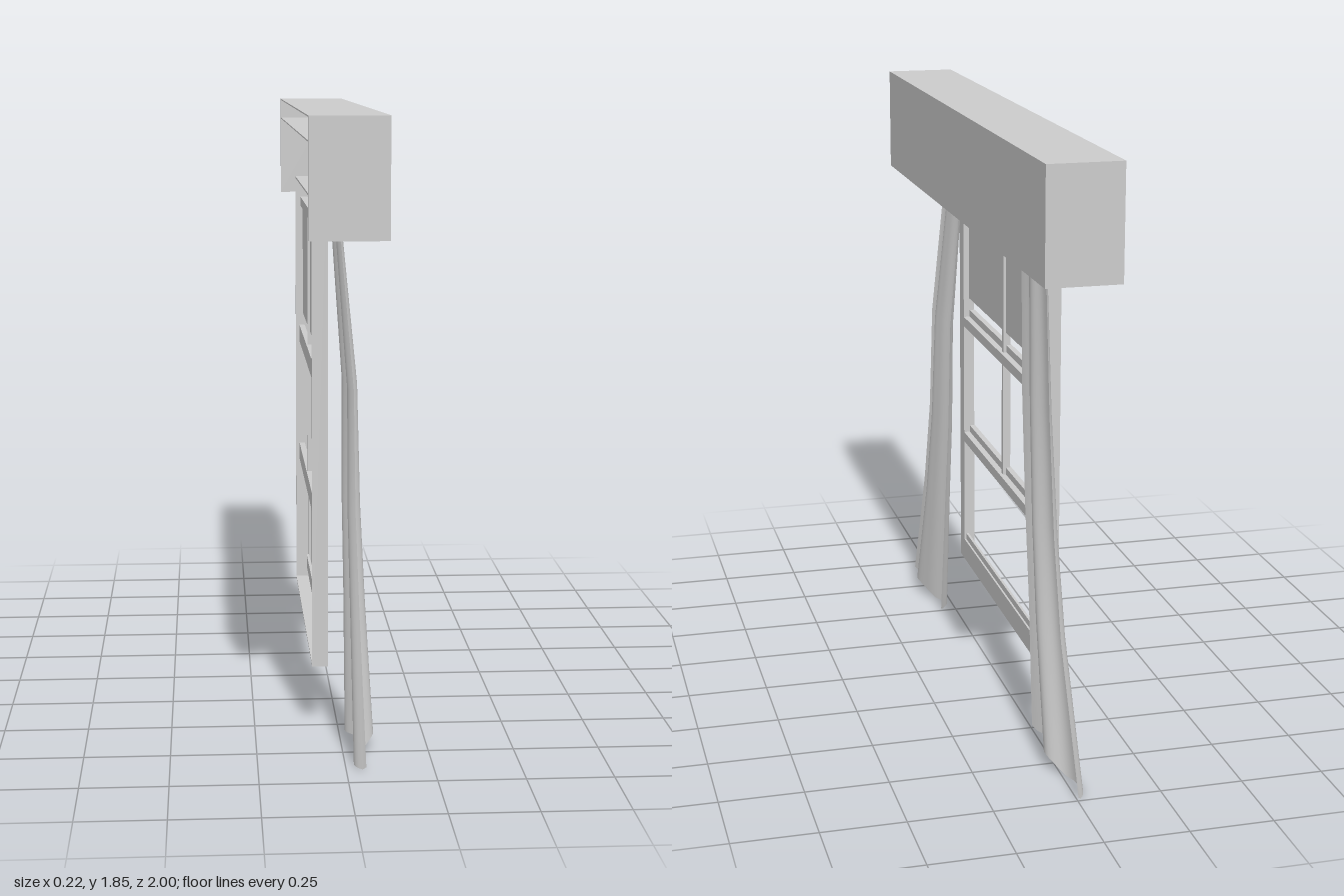
import * as THREE from 'three';

const material = new THREE.MeshStandardMaterial({ color: 0xcccccc });
const cloth = new THREE.MeshStandardMaterial({ color: 0xcccccc, side: THREE.DoubleSide });

// Box given by its limits on each axis
function box(parent, name, [x0, x1], [y0, y1], [z0, z1]) {
  const mesh = new THREE.Mesh(new THREE.BoxGeometry(x1 - x0, y1 - y0, z1 - z0), material);
  mesh.position.set((x0 + x1) / 2, (y0 + y1) / 2, (z0 + z1) / 2);
  mesh.name = name;
  parent.add(mesh);
}

// Hanging cloth: each row is [y, inner z, outer z, middle x, fold depth]
function curtain(name, rows) {
  const columns = 40;
  const geometry = new THREE.PlaneGeometry(1, 1, columns, rows.length - 1);
  const position = geometry.attributes.position;
  rows.forEach(([y, inner, outer, middle, depth], r) => {
    for (let c = 0; c <= columns; c++) {
      const u = c / columns;
      // One broad forward fold between two hollows, with a slight ripple
      const fold = -Math.sin(3 * Math.PI * u) + 0.12 * Math.sin(8 * Math.PI * u);
      // The hem lifts where the fold comes forward
      const lift = r === rows.length - 1 ? Math.max(-0.01, 0.033 * fold) : 0;
      position.setXYZ(r * (columns + 1) + c, middle + depth * fold, y + lift, inner + (outer - inner) * u);
    }
  });
  geometry.computeVertexNormals();
  const mesh = new THREE.Mesh(geometry, cloth);
  mesh.name = name;
  return mesh;
}

export function createModel() {
  const model = new THREE.Group();
  model.name = 'curtainedWindow';

  // Pelmet, open at the back and below, with an inner shelf
  const pelmet = new THREE.Group();
  pelmet.name = 'pelmet';
  box(pelmet, 'pelmetFront', [0.08, 0.11], [1.517, 1.85], [-1, 1]);
  box(pelmet, 'pelmetTop', [-0.11, 0.08], [1.846, 1.85], [-1, 1]);
  box(pelmet, 'pelmetShelf', [-0.11, 0.08], [1.78, 1.784], [-0.97, 0.97]);
  for (const z of [[-1, -0.97], [0.97, 1]]) {
    box(pelmet, 'pelmetEnd', [-0.11, 0.08], [1.517, 1.846], z);
  }
  model.add(pelmet);

  // Window frame: a thin front casing with a shallow surround behind its outer edge
  const frame = new THREE.Group();
  frame.name = 'windowFrame';
  const across = [-0.467, 0.485];
  const outer = [-0.52, 0.54];
  const casing = [-0.036, -0.03];
  const surround = [-0.078, -0.036];
  box(frame, 'rightCasing', casing, [0.2, 1.6], [outer[0], across[0]]);
  box(frame, 'leftCasing', casing, [0.2, 1.6], [across[1], outer[1]]);
  box(frame, 'headCasing', casing, [1.54, 1.6], across);
  box(frame, 'sillCasing', casing, [0.2, 0.272], across);
  box(frame, 'rightSurround', surround, [0.2, 1.6], [outer[0], outer[0] + 0.006]);
  box(frame, 'leftSurround', surround, [0.2, 1.6], [outer[1] - 0.006, outer[1]]);
  box(frame, 'headSurround', surround, [1.594, 1.6], outer);
  box(frame, 'sillSurround', surround, [0.2, 0.206], outer);
  box(frame, 'bottomRail', [-0.044, -0.036], [0.25, 0.294], across);

  // Sash rails, the rear half standing a little higher
  for (const y of [0.633, 1.043]) {
    box(frame, 'sashRailFront', [-0.05, -0.03], [y, y + 0.033], across);
    box(frame, 'sashRailRear', [-0.068, -0.05], [y, y + 0.056], across);
  }
  box(frame, 'topRail', [-0.064, -0.04], [1.505, 1.535], across);
  box(frame, 'mullion', [-0.064, -0.04], [0.667, 1.505], [-0.003, 0.015]);
  box(frame, 'blind', [-0.056, -0.049], [1.14, 1.505], across);
  model.add(frame);

  // Pair of curtains flaring towards the floor
  model.add(curtain('frontCurtain', [
    [1.76, 0.405, 0.63, -0.005, 0.01],
    [1.52, 0.406, 0.645, -0.003, 0.012],
    [1.06, 0.412, 0.685, 0.035, 0.018],
    [0.71, 0.435, 0.72, 0.038, 0.022],
    [0.42, 0.457, 0.778, 0.046, 0.026],
    [0.018, 0.487, 0.916, 0.056, 0.034],
  ]));
  model.add(curtain('rearCurtain', [
    [1.76, -0.34, -0.58, -0.005, 0.01],
    [1.52, -0.348, -0.61, -0.004, 0.012],
    [1.06, -0.369, -0.668, -0.002, 0.017],
    [0.71, -0.417, -0.733, 0, 0.022],
    [0.42, -0.465, -0.813, 0, 0.026],
    [0.015, -0.503, -1, -0.002, 0.033],
  ]));
  return model;
}
